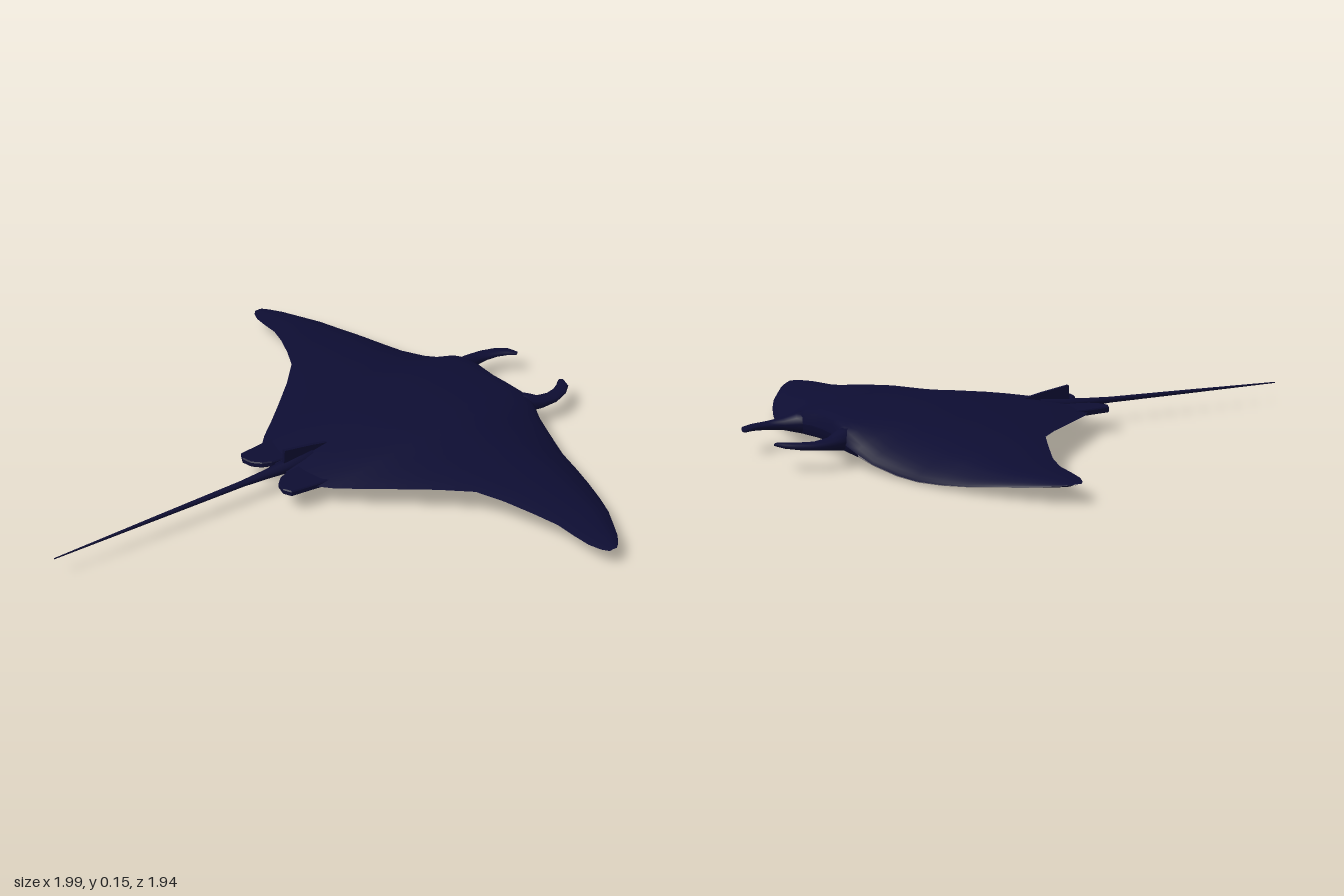
import * as THREE from 'three';

const navy = new THREE.MeshStandardMaterial({ color: 0x0d0d32 });
navy.name = 'navy skin';
const pale = new THREE.MeshStandardMaterial({ color: 0xb2acb2 });
pale.name = 'pale belly';

// Half-span stations: z, front x, rear x, front y, rear y, rise, drop, nose bluntness
const STATIONS = [
  [0.00, 0.775, -0.14, 0.095, 0.085, 0.075, 0.068, 0.2],
  [0.07, 0.78, -0.14, 0.095, 0.085, 0.074, 0.068, 0.2],
  [0.14, 0.79, -0.125, 0.09, 0.085, 0.074, 0.066, 0.22],
  [0.20, 0.79, -0.07, 0.08, 0.085, 0.074, 0.062, 0.3],
  [0.25, 0.775, -0.01, 0.06, 0.087, 0.072, 0.048, 0.4],
  [0.32, 0.76, 0.07, 0.04, 0.092, 0.074, 0.036, 0.5],
  [0.42, 0.73, 0.18, 0.023, 0.1, 0.068, 0.033, 0.5],
  [0.51, 0.71, 0.265, 0.02, 0.107, 0.057, 0.029, 0.55],
  [0.60, 0.68, 0.31, 0.024, 0.1, 0.048, 0.022, 0.55],
  [0.70, 0.64, 0.355, 0.033, 0.086, 0.034, 0.016, 0.6],
  [0.78, 0.60, 0.38, 0.044, 0.08, 0.025, 0.013, 0.6],
  [0.85, 0.555, 0.385, 0.052, 0.076, 0.019, 0.011, 0.6],
  [0.91, 0.515, 0.392, 0.06, 0.073, 0.013, 0.009, 0.6],
  [0.95, 0.48, 0.408, 0.066, 0.071, 0.006, 0.006, 0.6],
  [0.97, 0.455, 0.425, 0.07, 0.07, 0.001, 0.001, 0.6],
];
const CHORD = [0, 0.006, 0.02, 0.05, 0.09, 0.14, 0.19, 0.25, 0.35, 0.45, 0.55, 0.65, 0.75, 0.83, 0.9, 0.95, 1];

// One skin sheet spanning both wings, side = 1 for the back, -1 for the belly
function skin(name, side, isPale) {
  const rows = [...STATIONS.slice(1).reverse().map(([z, ...r]) => [-z, ...r]), ...STATIONS];
  const pos = [], dark = [], light = [], n = CHORD.length;
  for (const [z, xf, xb, yf, yb, up, down, blunt] of rows) {
    for (const t of CHORD) {
      const s = t < 0.3 ? (t / 0.3) ** blunt : 1 - ((t - 0.3) / 0.7) ** 1.9;
      pos.push(xf + (xb - xf) * t, yf + (yb - yf) * t + s * (side > 0 ? up : -down), z);
    }
  }
  for (let i = 0; i < rows.length - 1; i++) {
    for (let j = 0; j < n - 1; j++) {
      const a = i * n + j, b = a + 1, c = a + n, d = c + 1;
      const x = (pos[a * 3] + pos[d * 3]) / 2, z = (pos[a * 3 + 2] + pos[d * 3 + 2]) / 2;
      const list = isPale(x, Math.abs(z)) ? light : dark;
      list.push(...(side > 0 ? [a, b, c, b, d, c] : [a, c, b, b, c, d]));
    }
  }
  const g = new THREE.BufferGeometry();
  g.setAttribute('position', new THREE.Float32BufferAttribute(pos, 3));
  g.setIndex([...dark, ...light]);
  g.addGroup(0, dark.length, 0);
  g.addGroup(dark.length, light.length, 1);
  g.computeVertexNormals();
  const m = new THREE.Mesh(g, [navy, pale]);
  m.name = name;
  return m;
}

// Tapered limb with elliptical rings; each ring is [x, y, z, half width, half height]
function limb(name, rings, sides = 10) {
  const pos = [], idx = [];
  const pts = rings.map(r => new THREE.Vector3(r[0], r[1], r[2]));
  rings.forEach(([x, y, z, w, h], i) => {
    const dir = pts[Math.min(i + 1, pts.length - 1)].clone().sub(pts[Math.max(i - 1, 0)]);
    dir.y = 0;
    dir.normalize();
    for (let k = 0; k < sides; k++) {
      const a = (k / sides) * Math.PI * 2, c = Math.cos(a) * w;
      pos.push(x - dir.z * c, y + Math.sin(a) * h, z + dir.x * c);
      if (i < rings.length - 1) {
        const p = i * sides + k, q = i * sides + (k + 1) % sides;
        idx.push(p, q, p + sides, q, q + sides, p + sides);
      }
    }
  });
  // end caps
  const last = (rings.length - 1) * sides;
  for (let k = 1; k < sides - 1; k++) idx.push(0, k + 1, k, last, last + k, last + k + 1);
  // keep the winding outward
  for (let i = 0; i < idx.length; i += 3) [idx[i + 1], idx[i + 2]] = [idx[i + 2], idx[i + 1]];
  const g = new THREE.BufferGeometry();
  g.setAttribute('position', new THREE.Float32BufferAttribute(pos, 3));
  g.setIndex(idx);
  g.computeVertexNormals();
  const m = new THREE.Mesh(g, navy);
  m.name = name;
  return m;
}

export function createModel() {
  const ray = new THREE.Group();
  ray.name = 'mantaRay';

  // Body and wings: dark back, pale belly with dark mouth, wing tips and rear
  ray.add(skin('back', 1, () => false));
  ray.add(skin('belly', -1, (x, z) =>
    !(z > 0.91 || (z > 0.78 && x < 0.42) || (z < 0.2 && x > 0.62) || (z < 0.25 && x > 0.7) || x < -0.07)));

  // Whip tail
  ray.add(limb('tail', [
    [-0.02, 0.09, 0, 0.03, 0.026], [-0.13, 0.086, 0, 0.026, 0.02], [-0.2, 0.085, 0, 0.018, 0.015],
    [-0.3, 0.085, 0, 0.012, 0.01], [-0.6, 0.083, 0, 0.008, 0.007], [-1, 0.08, 0, 0.002, 0.002],
  ]));

  // Small dorsal fin at the tail root
  const dorsal = new THREE.Shape([[0.1, 0.11], [-0.02, 0.135], [-0.13, 0.152], [-0.135, 0.085], [0.08, 0.09]]
    .map(p => new THREE.Vector2(...p)));
  const dorsalGeo = new THREE.ExtrudeGeometry(dorsal, { depth: 0.012, bevelEnabled: false });
  dorsalGeo.translate(0, 0, -0.006);
  const dorsalFin = new THREE.Mesh(dorsalGeo, navy);
  dorsalFin.name = 'dorsalFin';
  ray.add(dorsalFin);

  for (const s of [1, -1]) {
    const side = s > 0 ? 'Left' : 'Right';

    // Curled head fins
    ray.add(limb('headFin' + side, [
      [0.74, 0.09, 0.145 * s, 0.045, 0.045], [0.79, 0.09, 0.163 * s, 0.038, 0.032],
      [0.83, 0.087, 0.181 * s, 0.03, 0.02], [0.885, 0.086, 0.183 * s, 0.029, 0.013],
      [0.93, 0.088, 0.171 * s, 0.025, 0.011], [0.965, 0.09, 0.148 * s, 0.021, 0.009],
      [0.985, 0.09, 0.118 * s, 0.01, 0.005],
    ]));

    // Rounded pelvic fins beside the tail
    const outline = new THREE.Shape([[-0.05, 0.16], [-0.13, 0.15], [-0.2, 0.142], [-0.214, 0.115], [-0.205, 0.08],
      [-0.18, 0.055], [-0.15, 0.042], [-0.05, 0.03]].map(([x, z]) => new THREE.Vector2(x, z * s)));
    const g = new THREE.ExtrudeGeometry(outline, {
      depth: 0.012, bevelThickness: 0.004, bevelSize: 0.003, bevelSegments: 1 });
    g.rotateX(Math.PI / 2);
    g.translate(0, 0.091, 0);
    const fin = new THREE.Mesh(g, navy);
    fin.name = 'pelvicFin' + side;
    ray.add(fin);
  }
  return ray;
}
